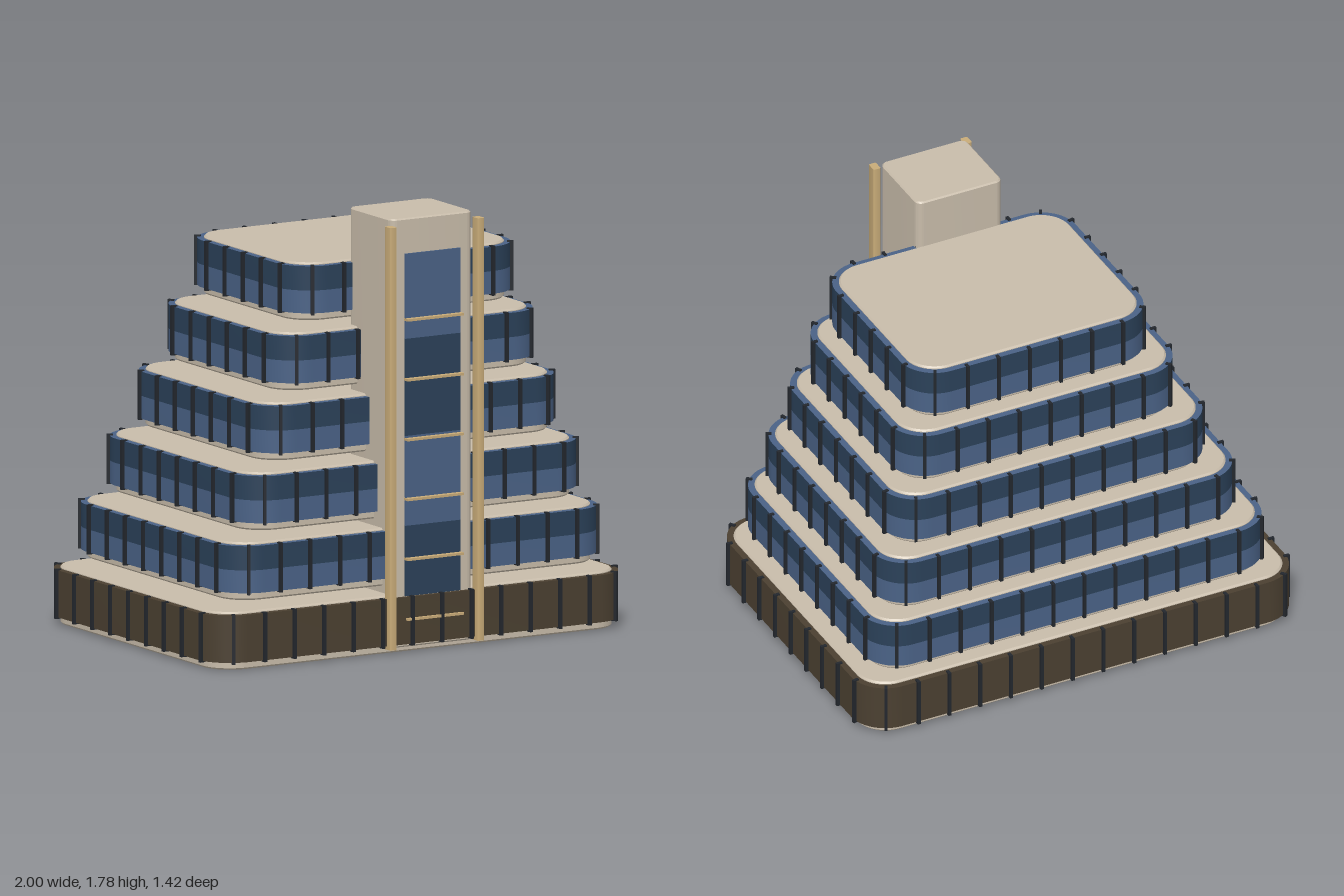
import * as THREE from 'three';
import { toCreasedNormals } from 'three/addons/utils/BufferGeometryUtils.js';

const mat = (name, color) => {
  const m = new THREE.MeshStandardMaterial({ color });
  m.name = name;
  return m;
};

// Rounded rectangle in plan; plan y becomes -z when laid flat
function plan(x0, x1, z0, z1, r, Type = THREE.Shape) {
  const s = new Type(), a = -z1, b = -z0;
  s.moveTo(x0 + r, a);
  s.lineTo(x1 - r, a);
  s.absarc(x1 - r, a + r, r, -Math.PI / 2, 0, false);
  s.lineTo(x1, b - r);
  s.absarc(x1 - r, b - r, r, 0, Math.PI / 2, false);
  s.lineTo(x0 + r, b);
  s.absarc(x0 + r, b - r, r, Math.PI / 2, Math.PI, false);
  s.lineTo(x0, a + r);
  s.absarc(x0 + r, a + r, r, Math.PI, Math.PI * 1.5, false);
  return s;
}

// Upright extrusion of a plan from y0 to y1
function rise(shape, y0, y1, bevel = 0) {
  const g = new THREE.ExtrudeGeometry(shape, {
    depth: y1 - y0 - 2 * bevel, curveSegments: 10, bevelEnabled: bevel > 0,
    bevelThickness: bevel, bevelSize: bevel, bevelOffset: -bevel, bevelSegments: 1,
  });
  g.rotateX(-Math.PI / 2);
  g.translate(0, y0 + bevel, 0);
  return toCreasedNormals(g, 0.5);
}

export function createModel() {
  const stone = mat('stone', 0xc8bcaa);
  const bronze = mat('bronze band', 0x4b4031);
  const glassDark = mat('dark glass', 0x2b4159);
  const glassLight = mat('light glass', 0x4a6286);
  const mullionMat = mat('mullion', 0x23272d);
  const gold = mat('gold trim', 0xc8ab78);

  const root = new THREE.Group();
  root.name = 'terracedTower';
  const add = (parent, name, geo, material) => {
    const m = new THREE.Mesh(geo, material);
    m.name = name;
    parent.add(m);
    return m;
  };
  const box = (parent, name, x0, x1, y0, y1, z0, z1, material) => {
    const m = add(parent, name, new THREE.BoxGeometry(x1 - x0, y1 - y0, z1 - z0), material);
    m.position.set((x0 + x1) / 2, (y0 + y1) / 2, (z0 + z1) / 2);
  };

  // Storeys: outer band extents x0, x1, z0, z1
  const tiers = [
    [-0.985, 0.985, -0.695, 0.685],
    [-0.875, 0.92, -0.665, 0.625],
    [-0.76, 0.86, -0.63, 0.56],
    [-0.645, 0.795, -0.59, 0.495],
    [-0.53, 0.735, -0.55, 0.43],
    [-0.415, 0.67, -0.515, 0.365],
  ];
  tiers.forEach(([x0, x1, z0, z1], i) => {
    const tier = new THREE.Group();
    tier.name = 'storey' + i;
    root.add(tier);
    const y = i * 0.2665, t = 0.027, r = 0.155;

    // Stone floor block
    add(tier, 'floorBlock',
      rise(plan(x0 + t, x1 - t, z0 + t, z1 - t, r - t), y, y + 0.238, 0.007), stone);

    // Band wrapped around the block
    const ring = plan(x0, x1, z0, z1, r);
    ring.holes.push(plan(x0 + t, x1 - t, z0 + t, z1 - t, r - t, THREE.Path));
    const low = y + 0.034, mid = y + 0.128, high = y + 0.228;
    if (i === 0) {
      add(tier, 'bronzeBand', rise(ring, low, high), bronze);
    } else {
      add(tier, 'lowerGlass', rise(ring, low, mid), glassLight);
      add(tier, 'upperGlass', rise(ring, mid, high), [glassLight, glassDark]);
    }

    // Mullions evenly spaced around the outline
    const path = plan(x0, x1, z0, z1, r, THREE.Path);
    path.closePath();
    const count = Math.round(path.getLength() / 0.14);
    const finGeo = new THREE.BoxGeometry(0.013, 0.205, 0.026);
    for (let k = 0; k < count; k++) {
      const u = (k + 0.5) / count;
      const p = path.getPointAt(u), d = path.getTangentAt(u);
      const fin = add(tier, 'mullion', finGeo, mullionMat);
      fin.position.set(p.x, y + 0.131, -p.y);
      fin.rotation.y = Math.atan2(d.y, d.x);
    }
  });

  // Lift shaft at the front
  const shaft = new THREE.Group();
  shaft.name = 'liftShaft';
  root.add(shaft);
  add(shaft, 'shaftBody', rise(plan(-0.147, 0.24, 0.33, 0.668, 0.03), 0.02, 1.785, 0.006), stone);

  // Window strip in alternating tones, running from bottom to top
  [0.23, 0.52, 0.89, 1.29, 1.64].forEach((y, i, ys) => {
    if (i) {
      box(shaft, 'shaftWindow', -0.085, 0.176, ys[i - 1], y, 0.667, 0.675,
        i % 2 ? glassDark : glassLight);
    }
  });

  // Gold sills across the strip
  for (let i = 0; i < 6; i++) {
    const y = 0.137 + i * 0.2465;
    box(shaft, 'sill', -0.088, 0.179, y - 0.005, y + 0.005, 0.667, 0.698, gold);
  }

  // Gold posts either side of the shaft
  for (const x of [-0.162, 0.253]) {
    add(shaft, 'post', rise(plan(x - 0.016, x + 0.016, 0.664, 0.71, 0.006), 0.02, 1.76), gold);
  }
  return root;
}
